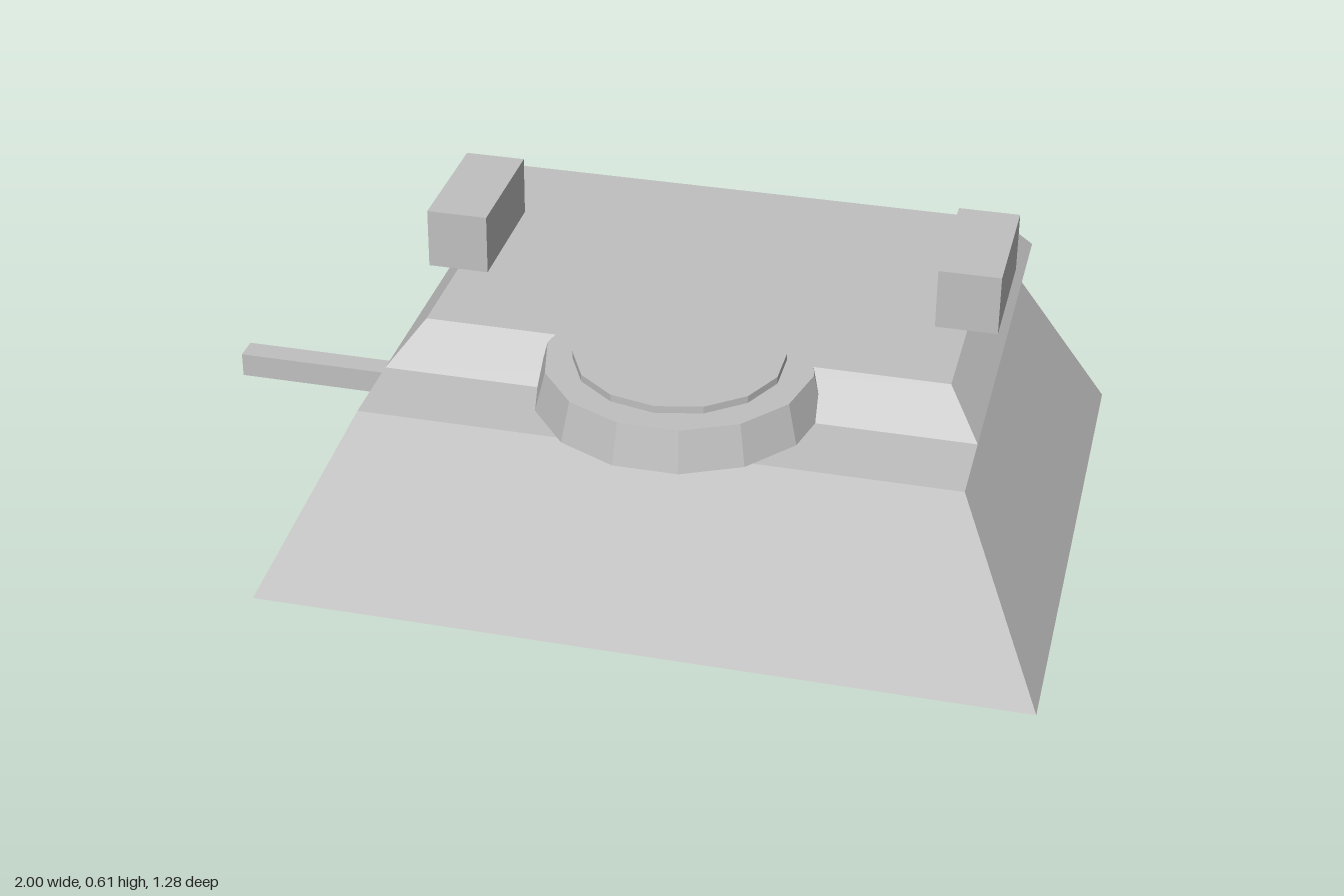
import * as THREE from 'three';

export function createModel() {
  const group = new THREE.Group();
  const grey = new THREE.MeshStandardMaterial({ color: 0xc0c0c0, flatShading: true });
  grey.name = 'grey';

  const add = (name, geometry, x = 0, y = 0, z = 0) => {
    const mesh = new THREE.Mesh(geometry, grey);
    mesh.name = name;
    mesh.position.set(x, y, z);
    group.add(mesh);
    return mesh;
  };

  // Block with sloped sides; each rectangle is [x0, x1, z0, z1]
  const slopedBlock = (y0, low, y1, high) => {
    const geometry = new THREE.BoxGeometry(1, 1, 1);
    const p = geometry.attributes.position;
    for (let i = 0; i < p.count; i++) {
      const top = p.getY(i) > 0;
      const r = top ? high : low;
      p.setXYZ(i, r[p.getX(i) > 0 ? 1 : 0], top ? y1 : y0, r[p.getZ(i) > 0 ? 3 : 2]);
    }
    geometry.computeVertexNormals();
    return geometry;
  };

  // Hull and the raised deck, which overhangs the back
  add('hull', slopedBlock(0, [-0.66, 1, -0.64, 0.64], 0.38, [-0.472, 0.806, -0.45, 0.45]));
  add('upperDeck', slopedBlock(0.38, [-0.472, 0.806, -0.64, 0.265], 0.47, [-0.4, 0.735, -0.57, 0.19]));

  // Round cupola with a thin lid
  const cx = 0.167, cz = 0.225;
  add('cupola', new THREE.CylinderGeometry(0.287, 0.309, 0.09, 14), cx, 0.425, cz).rotation.y = Math.PI / 14;
  add('cupolaLid', new THREE.CylinderGeometry(0.225, 0.225, 0.016, 14), cx, 0.478, cz);

  // Pair of boxes on the deck edges
  for (const side of [-1, 1]) {
    add(side > 0 ? 'leftDeckBox' : 'rightDeckBox',
      new THREE.BoxGeometry(0.135, 0.135, 0.3), cx + side * 0.566, 0.538, -0.19);
  }

  // Bar sticking out of the right side
  add('sideBar', new THREE.BoxGeometry(0.4, 0.057, 0.057), -0.8, 0.047, -0.228);

  return group;
}
